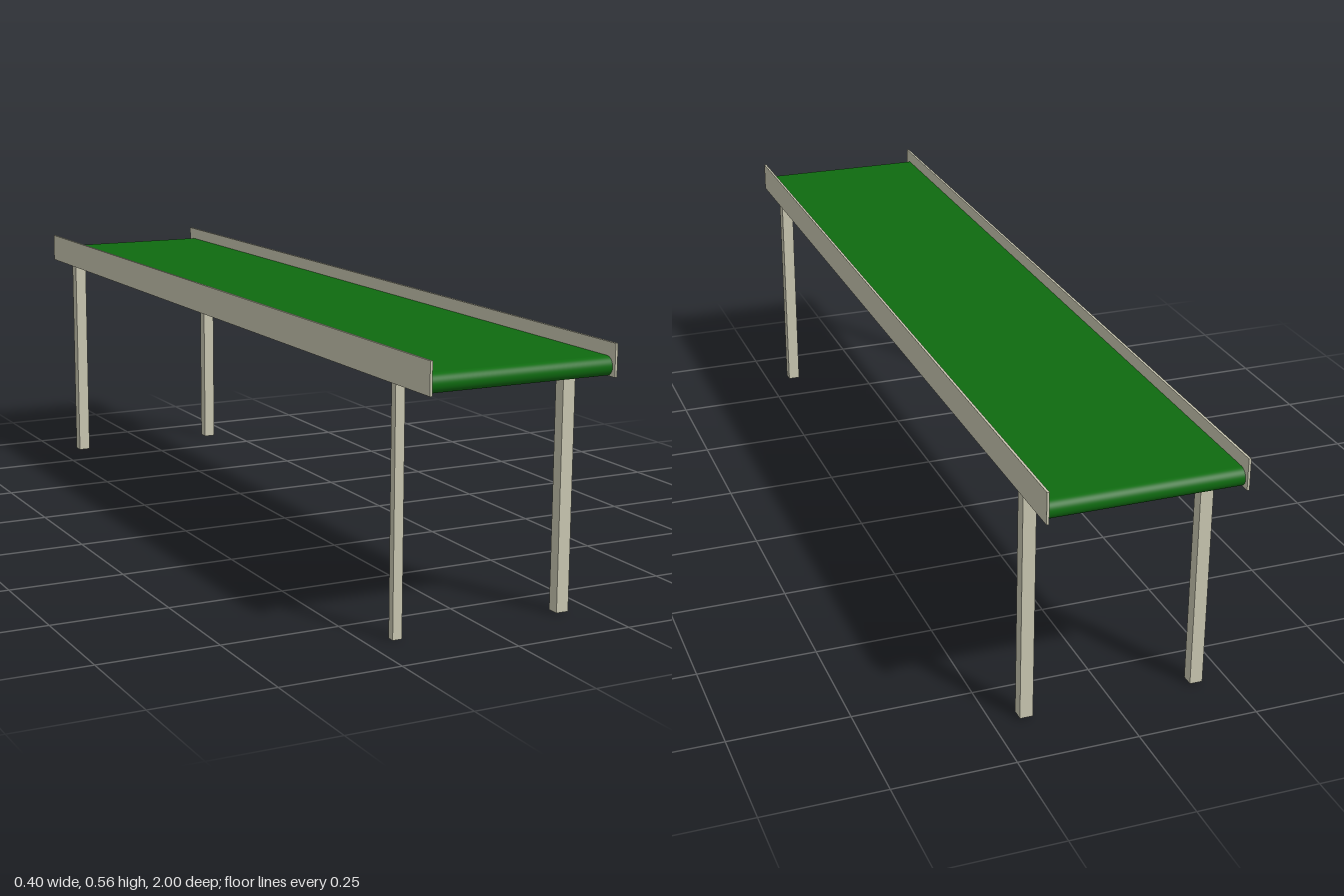
import * as THREE from 'three';

export function createModel() {
  const group = new THREE.Group();
  const frameMat = new THREE.MeshStandardMaterial({ color: 0xc8c6b0 });
  const beltMat = new THREE.MeshStandardMaterial({ color: 0x0f6b10 });

  // Box given by its minimum and maximum corners
  function box(name, [x0, y0, z0], [x1, y1, z1]) {
    const mesh = new THREE.Mesh(new THREE.BoxGeometry(x1 - x0, y1 - y0, z1 - z0), frameMat);
    mesh.position.set((x0 + x1) / 2, (y0 + y1) / 2, (z0 + z1) / 2);
    mesh.name = name;
    group.add(mesh);
  }

  // Belt: a flat loop with rounded ends, extruded across the width
  const r = 0.019, end = 0.992, width = 0.392;
  const loop = new THREE.Shape();
  loop.absarc(end - r, 0, r, -Math.PI / 2, Math.PI / 2, false);
  loop.absarc(-end + r, 0, r, Math.PI / 2, Math.PI * 1.5, false);
  loop.closePath();
  const beltGeo = new THREE.ExtrudeGeometry(loop, { depth: width, bevelEnabled: false, curveSegments: 16 });
  beltGeo.translate(0, 0, -width / 2);
  beltGeo.rotateY(Math.PI / 2);
  // Smooth normals around the loop, flat on the two sides
  const pos = beltGeo.attributes.position, nor = beltGeo.attributes.normal;
  for (let i = 0; i < pos.count; i++) {
    if (Math.abs(nor.getX(i)) > 0.5) continue;
    const z = pos.getZ(i);
    const dz = z - THREE.MathUtils.clamp(z, -end + r, end - r);
    const n = new THREE.Vector3(0, pos.getY(i), dz).normalize();
    nor.setXYZ(i, n.x, n.y, n.z);
  }
  const belt = new THREE.Mesh(beltGeo, beltMat);
  belt.name = 'belt';
  belt.position.y = 0.514;
  group.add(belt);

  // Side rails
  box('leftRail', [0.196, 0.495, -1], [0.201, 0.56, 1]);
  box('rightRail', [-0.201, 0.495, -1], [-0.196, 0.56, 1]);

  // Legs; the front right one is slimmer and slightly longer
  box('frontLeftLeg', [0.168, 0.003, 0.848], [0.195, 0.497, 0.874]);
  box('backLeftLeg', [0.168, 0.003, -0.871], [0.195, 0.497, -0.845]);
  box('backRightLeg', [-0.196, 0.003, -0.871], [-0.169, 0.497, -0.845]);
  box('frontRightLeg', [-0.197, 0, 0.853], [-0.177, 0.497, 0.869]);

  return group;
}
